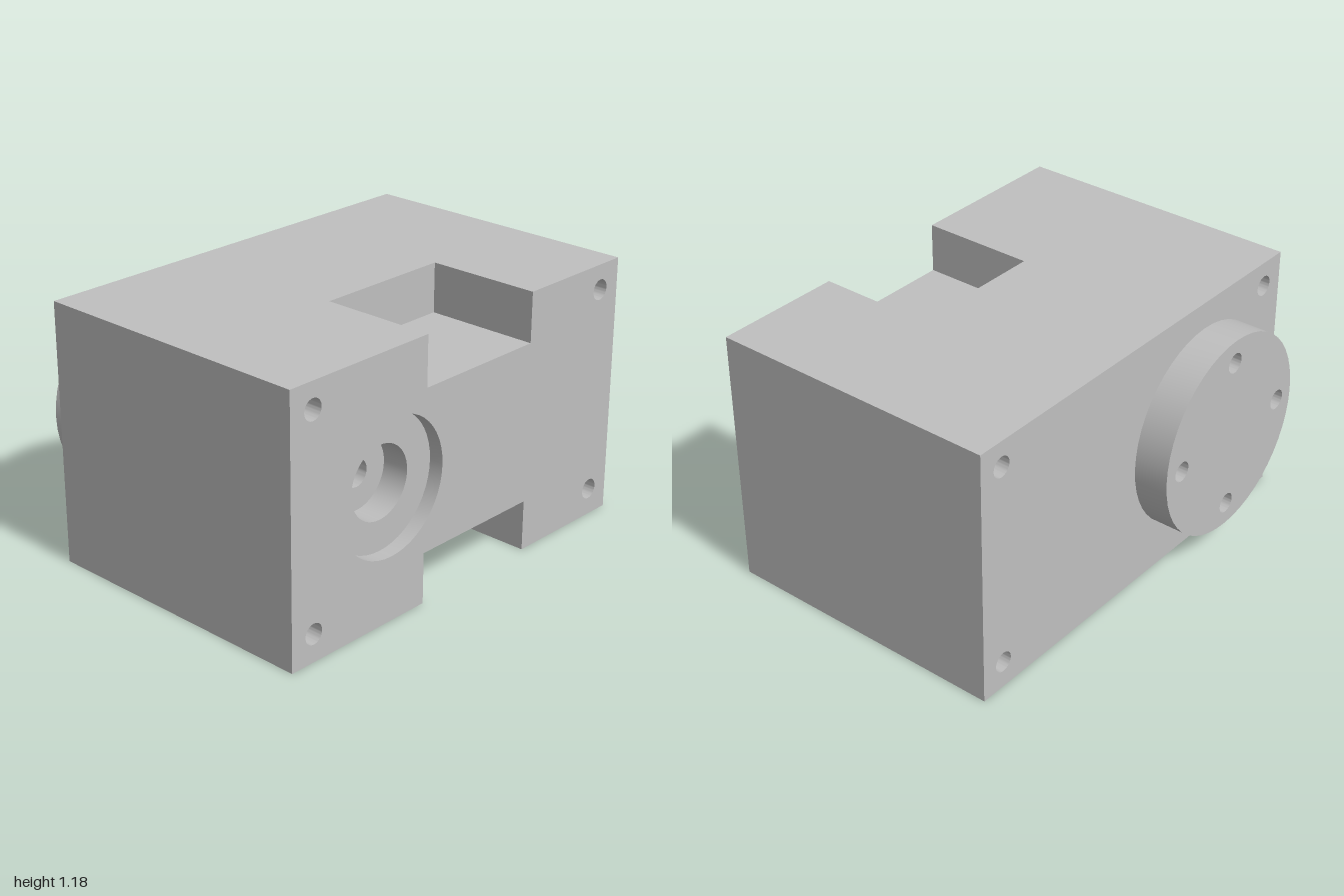
import * as THREE from 'three';
import { toCreasedNormals } from 'three/addons/utils/BufferGeometryUtils.js';

const SEG = 48;
// Housing extents
const X0 = -0.585, X1 = 0.745, H = 1.18, D = 1;
// Mounting notches, cut into the right side from above and below
const NX = 0.22, NZ0 = -0.41, NZ1 = 0.24, NLOW = 0.23, NHIGH = 0.955;
// Shaft axis, flange and bolt holes
const CY = 0.593, CZ = 0.438, FLANGE_X = -0.745, FLANGE_R = 0.463;
const HOLE_R = 0.046, BORE_R = 0.302;
const corners = [[0.125, 0.88], [0.125, -0.88], [1.065, 0.88], [1.065, -0.88]];
const flangeBolts = [[0.355, 0], [-0.355, 0], [0, 0.355], [0, -0.355]]
  .map(([dy, dz]) => [CY + dy, CZ + dz]);

export function createModel() {
  const model = new THREE.Group();
  model.name = 'gearboxHousing';
  const metal = new THREE.MeshStandardMaterial({ color: 0xbfbfbf });
  metal.name = 'grey metal';

  const add = (name, geometry, parent = model) => {
    const mesh = new THREE.Mesh(geometry, metal);
    mesh.name = name;
    parent.add(mesh);
    return mesh;
  };
  const outline = (points) => new THREE.Shape(points.map(([u, v]) => new THREE.Vector2(u, v)));
  const cutHole = (shape, u, v, r) =>
    shape.holes.push(new THREE.Path().absarc(u, v, r, 0, Math.PI * 2, true));
  const flat = (shape) => new THREE.ShapeGeometry(shape, SEG / 2);

  // Turned surface whose axis points along +x (side 1) or -x (side -1)
  const turned = (name, profile, side, x, y, z, parent) => {
    const lathe = new THREE.LatheGeometry(profile.map(([r, h]) => new THREE.Vector2(r, h)), SEG);
    const mesh = add(name, toCreasedNormals(lathe, 0.6), parent);
    mesh.rotation.z = -side * Math.PI / 2;
    mesh.position.set(x, y, z);
  };
  const boltHole = (name, side, x, y, z, depth, parent) =>
    turned(name, [[HOLE_R, 0], [HOLE_R, -depth], [0, -depth]], side, x, y, z, parent);

  // Right face with notches, bolt holes and bearing bore (u = -z)
  const right = outline([
    [-D, 0], [-NZ1, 0], [-NZ1, NLOW], [-NZ0, NLOW], [-NZ0, 0], [D, 0],
    [D, H], [-NZ0, H], [-NZ0, NHIGH], [-NZ1, NHIGH], [-NZ1, H], [-D, H],
  ]);
  corners.forEach(([y, z]) => cutHole(right, -z, y, HOLE_R));
  cutHole(right, -CZ, CY, BORE_R);
  add('rightFace', flat(right).rotateY(Math.PI / 2).translate(X1, 0, 0));

  // Left face (u = z)
  const left = outline([[-D, 0], [D, 0], [D, H], [-D, H]]);
  corners.forEach(([y, z]) => cutHole(left, z, y, HOLE_R));
  add('leftFace', flat(left).rotateY(-Math.PI / 2).translate(X0, 0, 0));

  // Front and back faces
  const width = X1 - X0, midX = (X0 + X1) / 2;
  add('frontFace', new THREE.PlaneGeometry(width, H).translate(midX, H / 2, D));
  add('backFace', new THREE.PlaneGeometry(width, H).rotateY(Math.PI).translate(midX, H / 2, -D));

  // Top and bottom faces, each with its notch
  const slab = (s) => outline([
    [X0, -D * s], [X1, -D * s], [X1, NZ0 * s], [NX, NZ0 * s],
    [NX, NZ1 * s], [X1, NZ1 * s], [X1, D * s], [X0, D * s],
  ]);
  add('topFace', flat(slab(-1)).rotateX(-Math.PI / 2).translate(0, H, 0));
  add('bottomFace', flat(slab(1)).rotateX(Math.PI / 2));

  // Notch walls
  const nw = X1 - NX, nx = (X1 + NX) / 2, nl = NZ1 - NZ0, nz = (NZ0 + NZ1) / 2;
  for (const [name, y0, y1, seat, up] of [
    ['lowerNotch', 0, NLOW, NLOW, -1], ['upperNotch', NHIGH, H, NHIGH, 1],
  ]) {
    const notch = new THREE.Group();
    notch.name = name;
    model.add(notch);
    const h = y1 - y0, y = (y0 + y1) / 2;
    add('notchSeat', new THREE.PlaneGeometry(nw, nl).rotateX(-up * Math.PI / 2).translate(nx, seat, nz), notch);
    add('notchInnerWall', new THREE.PlaneGeometry(nl, h).rotateY(Math.PI / 2).translate(NX, y, nz), notch);
    add('notchBackWall', new THREE.PlaneGeometry(nw, h).translate(nx, y, NZ0), notch);
    add('notchFrontWall', new THREE.PlaneGeometry(nw, h).rotateY(Math.PI).translate(nx, y, NZ1), notch);
  }

  // Corner bolt holes on both sides
  for (const [y, z] of corners) {
    boltHole('rightBoltHole', 1, X1, y, z, 0.3);
    boltHole('leftBoltHole', -1, X0, y, z, 0.3);
  }

  // Stepped bearing bore
  turned('bearingBore', [
    [BORE_R, 0], [BORE_R, -0.066], [0.163, -0.066], [0.163, -0.19],
    [0.06, -0.19], [0.06, -1.2], [0, -1.2],
  ], 1, X1, CY, CZ);

  // Round flange on the left side
  const flange = new THREE.Group();
  flange.name = 'flange';
  model.add(flange);
  turned('flangeRim', [[FLANGE_R, 0], [FLANGE_R, X0 - FLANGE_X]], -1, X0, CY, CZ, flange);
  const disc = new THREE.Shape().absarc(CZ, CY, FLANGE_R, 0, Math.PI * 2, false);
  flangeBolts.forEach(([y, z]) => cutHole(disc, z, y, HOLE_R));
  add('flangeFace', flat(disc).rotateY(-Math.PI / 2).translate(FLANGE_X, 0, 0), flange);
  flangeBolts.forEach(([y, z]) => boltHole('flangeBoltHole', -1, FLANGE_X, y, z, 0.15, flange));

  return model;
}
